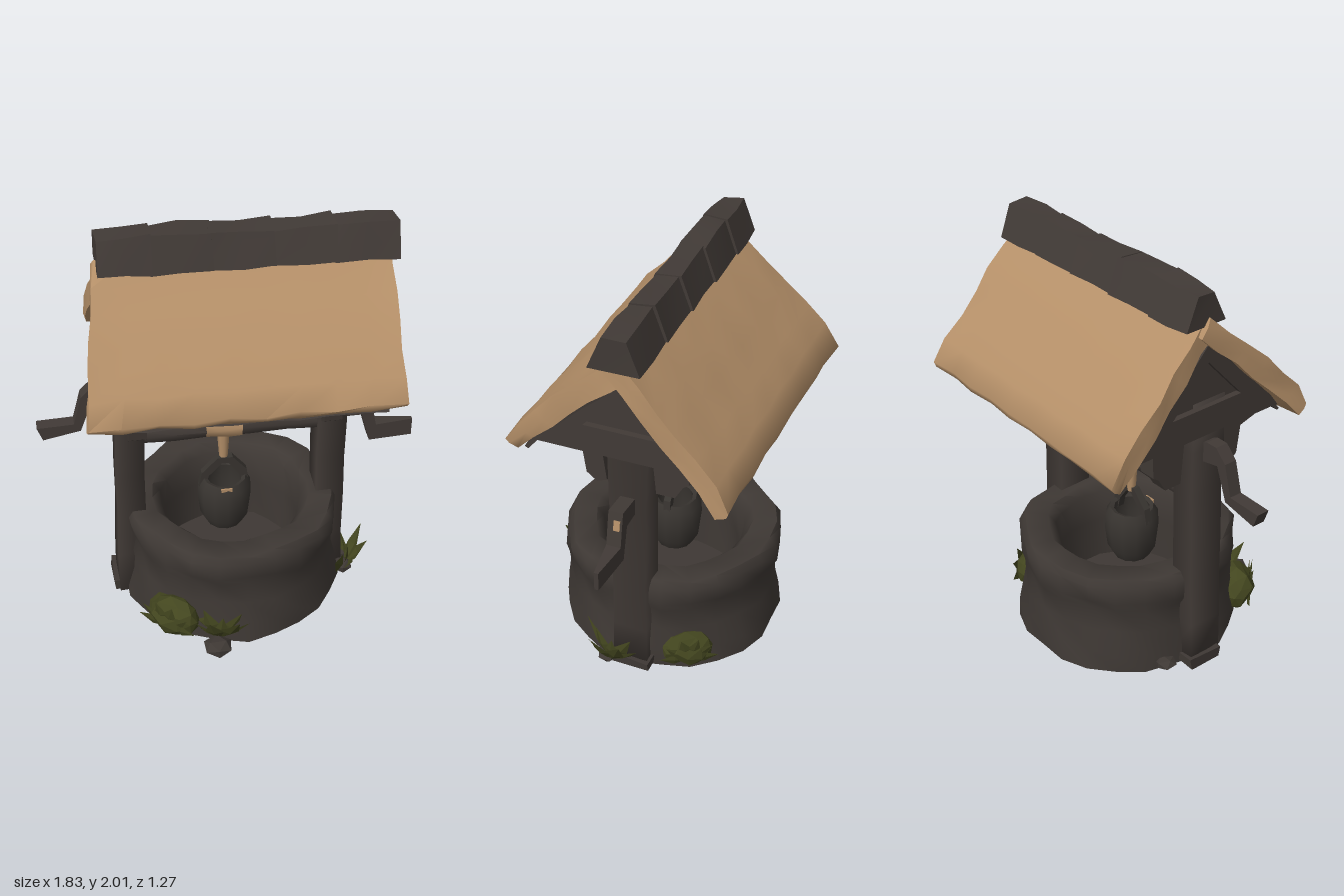
import * as THREE from 'three';
import { toCreasedNormals } from 'three/addons/utils/BufferGeometryUtils.js';

const { lerp } = THREE.MathUtils;
const mat = (name, color, side = THREE.FrontSide) => {
  const m = new THREE.MeshStandardMaterial({ color, side });
  m.name = name;
  return m;
};

// Position-based wobble: vertices that coincide move together
const wob = (x, y, z, k) => Math.sin(x * 17.3 + y * 29.1 + z * 23.7 + k * 2.1) * 0.6 + Math.sin(x * 41 - y * 13 + z * 37 + k) * 0.4;

function reshape(geo, rule) {
  const p = geo.attributes.position, v = new THREE.Vector3();
  for (let i = 0; i < p.count; i++) {
    rule(v.fromBufferAttribute(p, i));
    p.setXYZ(i, v.x, v.y, v.z);
  }
  return geo;
}
const roughen = (geo, a) => reshape(geo, v => {
  const { x, y, z } = v;
  v.set(x + a * wob(x, y, z, 1), y + a * wob(x, y, z, 2), z + a * wob(x, y, z, 3));
});

// Sloping slab from ridge to eave. Eave is [z at first end, y, z at second end];
// xr and xe are the x ranges at ridge and eave; start is where on the slope it begins
function slab(ridge, eave, xr, xe, thick, rough, drop = 0, start = 0) {
  const geo = reshape(new THREE.BoxGeometry(1, 1, 1, 9, 2, 6), v => {
    const u = v.x + 0.5, end = v.z > 0.49;
    const dy = eave[1] - ridge[1], dz = lerp(eave[0], eave[2], u) - ridge[0], len = Math.hypot(dy, dz);
    const ny = Math.abs(dz) / len, nz = -dy / len * Math.sign(dz);
    // rounded lip at the eave and a slight outward bulge along the slope
    const s = lerp(start, 1, v.z + 0.5) - (end && Math.abs(v.y) > 0.4 ? 0.015 : 0);
    const t = (0.5 - v.y) * thick + drop - 0.015 * Math.sin(s * Math.PI) + (end && v.y > 0.4 ? 0.02 : 0);
    v.set(lerp(lerp(xr[0], xr[1], u), lerp(xe[0], xe[1], u), s), ridge[1] + dy * s - t * ny, ridge[0] + dz * s - t * nz);
  });
  return toCreasedNormals(roughen(geo, rough), 1.25);
}

// Flat outline given some depth; side = true puts the outline in the z-y plane
function cutout(points, depth, side = false, hole = null) {
  const shape = new THREE.Shape(points.map(p => new THREE.Vector2(...p)));
  if (hole) shape.holes.push(new THREE.Path(hole.map(p => new THREE.Vector2(...p))));
  const geo = new THREE.ExtrudeGeometry(shape, { depth, bevelEnabled: false });
  geo.translate(0, 0, -depth / 2);
  if (side) geo.rotateY(-Math.PI / 2);
  return geo;
}

export function createModel() {
  const model = new THREE.Group();
  const wood = mat('dark wood', 0x413a36);
  const stone = mat('dark stone', 0x3e3834);
  const straw = mat('straw', 0xb48f68);
  const leaf = mat('leaf green', 0x43461f, THREE.DoubleSide);
  const metal = mat('bucket grey', 0x383430, THREE.DoubleSide);

  const add = (name, geo, material, x = 0, y = 0, z = 0, parent = model) => {
    const m = new THREE.Mesh(geo, material);
    m.name = name;
    m.position.set(x, y, z);
    parent.add(m);
    return m;
  };

  // Round stone wall with a thick rim and a closed bottom
  const profile = [[0, 0], [0.545, 0], [0.535, 0.1], [0.515, 0.22], [0.51, 0.34], [0.53, 0.39], [0.53, 0.48],
    [0.505, 0.515], [0.39, 0.515], [0.35, 0.47], [0.35, 0.3], [0.34, 0.08], [0, 0.08]];
  const wall = reshape(new THREE.LatheGeometry(profile.map(p => new THREE.Vector2(...p)), 24), v => {
    const r = Math.hypot(v.x, v.z), a = Math.atan2(v.z, v.x);
    if (r < 0.01) return;
    const k = 1 + 0.014 * Math.sin(a * 5 + v.y * 9) + 0.016 * Math.sin(a * 9 - v.y * 23);
    v.x *= k;
    v.z *= k;
    if (v.y > 0.45) v.y += 0.006 * Math.sin(a * 6);
  });
  add('stoneWall', toCreasedNormals(wall, 0.9), stone, 0.01, 0, -0.02);

  // Posts, slightly bent, with stones at their feet
  for (const s of [-1, 1]) {
    const post = reshape(new THREE.BoxGeometry(0.145, 1.45, 0.18, 1, 6, 1), v => {
      const h = v.y / 1.45 + 0.5;
      v.y += 0.725;
      v.x = v.x * (1.04 - 0.12 * Math.sin(h * 3)) + s * 0.015 * (0.5 - h);
      v.z *= 1 - 0.06 * Math.sin(h * 5);
    });
    add('post', toCreasedNormals(roughen(post, 0.006), 1.7), wood, s * 0.493, 0, -0.017);
    add('footStone', roughen(new THREE.BoxGeometry(0.1, 0.05, 0.18), 0.012), stone, s * 0.55, 0.03, -0.03);

    // Braces reaching from the post to the eaves
    add('frontBrace', cutout([[0.38, 1.34], [0.37, 1.24], [0.23, 1.2], [0.21, 1.06], [0.16, 1.02], [0.11, 1.04],
      [0.13, 1.2], [0.07, 1.25], [0.07, 1.36]], 0.085, true), wood, s * 0.46);
    add('backBrace', cutout([[-0.1, 1.38], [-0.13, 1.03], [-0.22, 1.03], [-0.26, 1.1], [-0.29, 1.12],
      [-0.3, 1.38]], 0.085, true), wood, s * 0.46);
  }

  // Gables: triangular frame with a recessed panel
  const tri = [[0.4, 1.29], [-0.05, 1.74], [-0.47, 1.29]];
  const inner = [[0.15, 1.43], [-0.05, 1.65], [-0.25, 1.43]];
  for (const [x, s] of [[0.61, 1], [-0.54, -1]]) {
    add('gableFrame', cutout(tri, 0.08, true, inner), wood, x);
    add('gablePanel', cutout(inner, 0.03, true), wood, x - s * 0.005);
  }

  // Thatch slopes with dark boards beneath
  const ridge = [-0.06, 1.865];
  const front = [0.48, 1.33, 0.505], back = [-0.59, 1.27, -0.645];
  add('frontThatch', slab(ridge, front, [-0.6, 0.755], [-0.7, 0.725], 0.095, 0.012), straw);
  add('backThatch', slab(ridge, back, [0.76, -0.585], [0.79, -0.63], 0.095, 0.012), straw);
  add('frontBoards', slab(ridge, front, [-0.57, 0.7], [-0.58, 0.66], 0.035, 0.008, 0.09, 0.2), wood);
  add('backBoards', slab(ridge, [-0.56, 1.3, -0.6], [0.71, -0.56], [0.71, -0.57], 0.035, 0.008, 0.09, 0.2), wood);

  // Ridge cap of overlapping wooden pieces
  const cuts = [-0.58, -0.35, -0.08, 0.2, 0.48, 0.765];
  for (let i = 0; i < 5; i++) {
    const w = cuts[i + 1] - cuts[i] + 0.012, mid = (cuts[i] + cuts[i + 1]) / 2;
    const cap = reshape(new THREE.BoxGeometry(w, 0.16, 1, 2, 1, 1), v => {
      v.z *= (v.y > 0 ? 0.11 : 0.225) + 0.015 * v.x / w;
      if (v.y > 0) v.y += 0.007 * Math.sin(i * 2 + v.x * 12);
      v.x += mid;
    });
    add('ridgeCap', toCreasedNormals(roughen(cap, 0.007), 0.9), wood, 0, 1.909 - i * 0.003, -0.08 + 0.005 * i);
  }

  // Axle with wound rope
  const axle = new THREE.CylinderGeometry(0.062, 0.068, 0.9, 10, 5).rotateZ(Math.PI / 2);
  add('axle', toCreasedNormals(roughen(axle, 0.005), 0.8), wood, 0, 0.935, -0.02);
  const coil = new THREE.CylinderGeometry(0.074, 0.078, 0.175, 10, 3).rotateZ(Math.PI / 2);
  add('ropeCoil', toCreasedNormals(roughen(coil, 0.005), 0.8), straw, -0.03, 0.945, -0.02);
  add('rope', new THREE.CylinderGeometry(0.032, 0.02, 0.18, 8), straw, -0.025, 0.8, -0.02);

  // Bent crank handles
  const rightCrank = reshape(cutout([[0.5, 0.93], [0.65, 0.93], [0.695, 0.77], [0.915, 0.76], [0.915, 0.855], [0.725, 0.86],
    [0.69, 1.03], [0.5, 1.01]], 0.07), v => { if (v.x > 0.8) v.z *= 0.3; });
  add('rightCrank', rightCrank, wood, 0, 0, -0.015);
  add('leftCrank', cutout([[-0.5, 1.22], [-0.58, 1.25], [-0.64, 1.25], [-0.7, 1.19], [-0.74, 1.04], [-0.915, 1.035],
    [-0.89, 0.965], [-0.71, 1.0], [-0.65, 1.16], [-0.5, 1.13]], 0.065), wood, 0, 0, -0.015);
  const binding = add('crankBinding', new THREE.BoxGeometry(0.006, 0.05, 0.03), straw, 0.706, 0.965, -0.025);
  binding.rotation.z = 0.2;

  // Bucket with a bent bail
  const bucket = new THREE.Group();
  bucket.name = 'bucket';
  bucket.position.set(-0.022, 0, -0.015);
  model.add(bucket);
  const pail = [[0, 0.34], [0.09, 0.34], [0.122, 0.4], [0.134, 0.5], [0.13, 0.58], [0.108, 0.618], [0.088, 0.61],
    [0.1, 0.52], [0.085, 0.42], [0, 0.41]];
  add('pail', toCreasedNormals(new THREE.LatheGeometry(pail.map(p => new THREE.Vector2(...p)), 12), 0.9), metal, 0, 0, 0, bucket);
  add('bail', cutout([[-0.13, 0.57], [-0.095, 0.57], [-0.08, 0.63], [-0.015, 0.7], [0.02, 0.7], [0.07, 0.63], [0.085, 0.57],
    [0.12, 0.57], [0.11, 0.65], [0.04, 0.735], [-0.035, 0.735], [-0.115, 0.65]], 0.035), metal, 0, 0, 0, bucket);
  add('rimPatch', new THREE.BoxGeometry(0.055, 0.018, 0.008), straw, -0.005, 0.606, 0.112, bucket);

  // Spiky plants: a fan of pointed leaves folded along the middle
  const blade = new THREE.BufferGeometry();
  blade.setAttribute('position', new THREE.Float32BufferAttribute(
    [0, 0, 0, 0.2, 0.5, 0, 0, 0.5, 0.06, 0.2, 0.5, 0, 0, 1, 0, 0, 0.5, 0.06,
      0, 0, 0, 0, 0.5, 0.06, -0.2, 0.5, 0, 0, 0.5, 0.06, 0, 1, 0, -0.2, 0.5, 0], 3));
  blade.computeVertexNormals();
  const plant = (x, z, size, count) => {
    const g = new THREE.Group();
    g.name = 'spikyPlant';
    g.position.set(x, 0.01, z);
    g.rotation.y = Math.atan2(x, z);
    for (let i = 0; i < count; i++) {
      const m = add('leaf', blade, leaf, 0, 0, 0, g);
      const a = (i / (count - 1) - 0.5) * 2.4;
      m.rotation.set(0.12 + 0.4 * (i % 2), a * 0.4, -a * 0.7, 'YXZ');
      m.scale.setScalar(size * (0.85 + 0.2 * Math.cos(i * 2.4)));
    }
    model.add(g);
  };
  plant(-0.13, 0.5, 0.24, 8);
  plant(0.59, 0.08, 0.23, 8);

  // Round bushes, each ringed by a few broad leaves
  for (const [x, y, z, r] of [[-0.34, 0.12, 0.4, 0.145], [0.46, 0.11, -0.27, 0.13]]) {
    const g = new THREE.Group();
    g.name = 'bush';
    g.position.set(x, y, z);
    g.rotation.y = Math.atan2(x, z);
    model.add(g);
    const crown = roughen(new THREE.IcosahedronGeometry(1, 1).scale(r, r * 0.7, r * 0.65), 0.014);
    crown.computeVertexNormals();
    add('crown', crown, leaf, 0, 0, 0, g);
    for (let i = 0; i < 6; i++) {
      const m = add('broadLeaf', blade, leaf, 0, -0.03, r * 0.45, g);
      m.rotation.set(0.15, 0, 1.5 - i * 0.6);
      m.scale.set(r * 1.3, r * 1.1, r);
    }
  }

  // Loose rocks
  for (const [x, z, s] of [[-0.15, 0.58, 0.075], [-0.5, -0.2, 0.06], [0.57, 0.1, 0.06]]) {
    const rock = roughen(new THREE.IcosahedronGeometry(s, 0).scale(1, 0.5, 0.9), 0.006);
    rock.computeVertexNormals();
    add('rock', rock, stone, x, s * 0.5 + 0.003, z);
  }
  return model;
}
